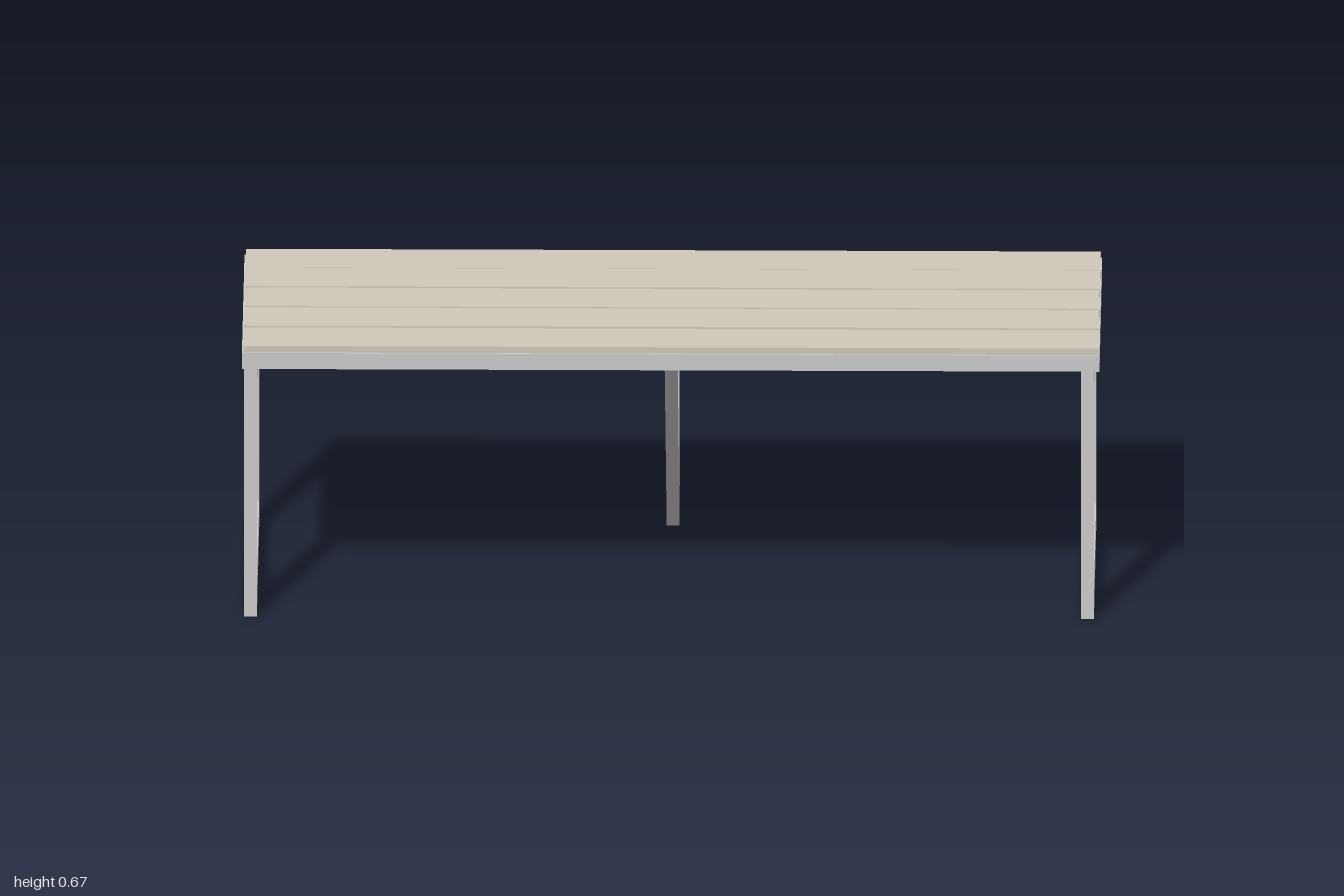
import * as THREE from 'three';

const metal = new THREE.MeshStandardMaterial({ color: 0xcccccc });
const wood = new THREE.MeshStandardMaterial({ color: 0xcfc9ba });

// Box given by its minimum and maximum on each axis
function box(name, material, [x0, x1], [y0, y1], [z0, z1]) {
  const mesh = new THREE.Mesh(new THREE.BoxGeometry(x1 - x0, y1 - y0, z1 - z0), material);
  mesh.position.set((x0 + x1) / 2, (y0 + y1) / 2, (z0 + z1) / 2);
  mesh.name = name;
  return mesh;
}

const points = (list) => list.map(([z, y]) => new THREE.Vector2(z, y));

// Side profile of (z, y) points, extruded across x from x0 to x1
function sidePlate(name, outline, hole, x0, x1) {
  const shape = new THREE.Shape(points(outline));
  if (hole) shape.holes.push(new THREE.Path(points(hole)));
  const geometry = new THREE.ExtrudeGeometry(shape, { depth: x1 - x0, bevelEnabled: false });
  geometry.rotateY(-Math.PI / 2).translate(x1, 0, 0);
  const mesh = new THREE.Mesh(geometry, metal);
  mesh.name = name;
  return mesh;
}

const rect = (z0, z1, y0, y1) => [[z0, y0], [z1, y0], [z1, y1], [z0, y1]];

export function createModel() {
  const bench = new THREE.Group();
  bench.name = 'bench';

  const legTop = 0.618, frameTop = 0.658, slatTop = 0.674;
  const halfDepth = 0.322, rail = 0.06;

  // Five seat slats, with slightly uneven gaps
  const seat = new THREE.Group();
  seat.name = 'seat';
  for (const z of [0.257, 0.125, -0.004, -0.134, -0.257]) {
    seat.add(box('slat', wood, [-0.996, 0.997], [frameTop, slatTop], [z - 0.061, z + 0.061]));
  }
  bench.add(seat);

  // Rectangular frame under the slats
  const frame = new THREE.Group();
  frame.name = 'seatFrame';
  const inner = halfDepth - rail;
  frame.add(
    box('frontRail', metal, [-1, 1], [legTop, frameTop], [inner, halfDepth]),
    box('backRail', metal, [-1, 1], [legTop, frameTop], [-halfDepth, -inner]),
    box('leftRail', metal, [1 - rail, 1], [legTop, frameTop], [-inner, inner]),
    box('rightRail', metal, [-1, -1 + rail], [legTop, frameTop], [-inner, inner]),
  );
  bench.add(frame);

  // Closed loop legs at both ends
  for (const [name, x0] of [['rightLeg', -0.995], ['leftLeg', 0.957]]) {
    bench.add(sidePlate(name, rect(-0.317, 0.321, 0, legTop), rect(-0.245, 0.25, 0.073, 0.566), x0, x0 + 0.03));
  }

  // Middle support: upright at the back and a diagonal brace rising to the front rail
  const support = new THREE.Group();
  support.name = 'middleSupport';
  support.add(
    box('post', metal, [-0.015, 0.015], [0, legTop], [-0.317, -0.287]),
    sidePlate('diagonalBrace',
      [[-0.317, 0], [-0.285, 0], [inner, 0.634], [inner, frameTop], [0.251, frameTop]],
      null, -0.015, 0.015),
  );
  bench.add(support);

  return bench;
}
